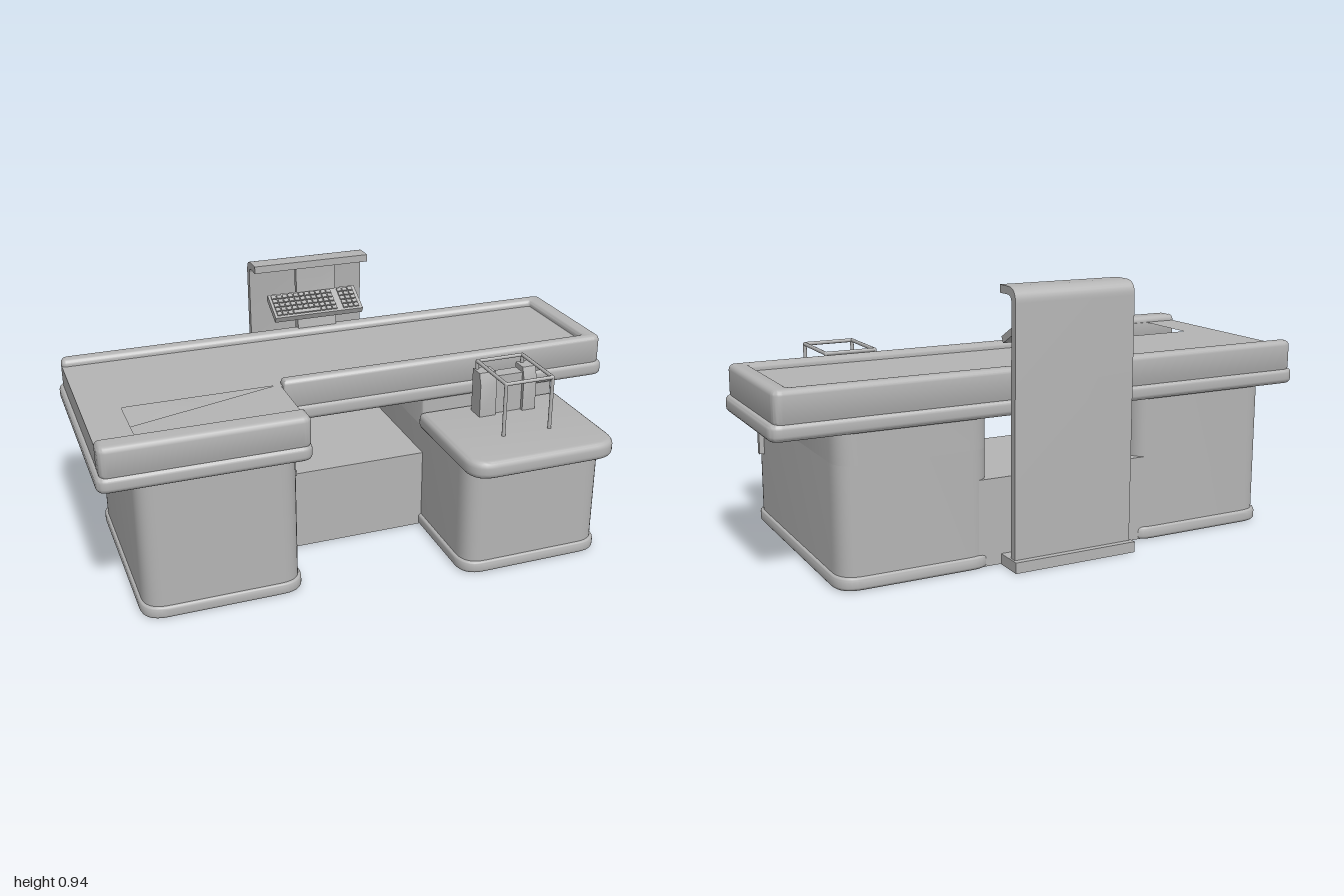
import * as THREE from 'three';
import { toCreasedNormals } from 'three/addons/utils/BufferGeometryUtils.js';

const grey = new THREE.MeshStandardMaterial({ color: 0xb4b4b4 });
grey.name = 'plain grey';

// Closed outline through [a, b, radius] corners, each softened by its radius
function outline(points) {
  const shape = new THREE.Shape();
  const n = points.length;
  points.forEach(([a, b, r = 0], i) => {
    const p = new THREE.Vector2(a, b);
    const toward = ([c, d]) => new THREE.Vector2(c, d).sub(p).setLength(r).add(p);
    const start = r ? toward(points[(i + n - 1) % n]) : p;
    const end = r ? toward(points[(i + 1) % n]) : p;
    if (i === 0) shape.moveTo(start.x, start.y);
    else shape.lineTo(start.x, start.y);
    if (r) shape.quadraticCurveTo(p.x, p.y, end.x, end.y);
  });
  shape.closePath();
  return shape;
}

function extrude(shape, height, bevel) {
  return new THREE.ExtrudeGeometry(shape, {
    depth: height - 2 * bevel, curveSegments: 8, bevelEnabled: bevel > 0,
    bevelThickness: bevel, bevelSize: bevel, bevelOffset: -bevel, bevelSegments: 4,
  }).translate(0, 0, bevel);
}

export function createModel() {
  const model = new THREE.Group();
  model.name = 'checkoutCounter';

  const add = (name, geometry, parent = model) => {
    const mesh = new THREE.Mesh(geometry, grey);
    mesh.name = name;
    parent.add(mesh);
    return mesh;
  };
  const box = (name, x0, x1, y0, y1, z0, z1, parent) => add(name,
    new THREE.BoxGeometry(x1 - x0, y1 - y0, z1 - z0)
      .translate((x0 + x1) / 2, (y0 + y1) / 2, (z0 + z1) / 2), parent);

  // Horizontal slab from an [x, z, radius] plan
  const slab = (name, plan, y0, y1, bevel = 0, hole = null) => {
    const flip = (pts) => outline(pts.map(([x, z, r]) => [x, -z, r]));
    const shape = flip(plan);
    if (hole) shape.holes.push(flip(hole));
    const g = extrude(shape, y1 - y0, bevel).rotateX(-Math.PI / 2).translate(0, y0, 0);
    return add(name, toCreasedNormals(g, 0.6));
  };
  const rect = (x0, x1, z0, z1, r, rFront = r) =>
    [[x0, z0, r], [x1, z0, r], [x1, z1, rFront], [x0, z1, rFront]];

  // Side profile of [z, y, radius] corners, stretched from x0 to x1
  const profile = (name, pts, x0, x1) => add(name, toCreasedNormals(
    extrude(outline(pts), x1 - x0, 0).rotateY(-Math.PI / 2).translate(x1, 0, 0), 0.6));

  // Cabinets and plinths
  slab('leftCabinet', rect(-0.875, -0.32, -0.43, 0.355, 0.08), 0.04, 0.525);
  slab('leftPlinth', rect(-0.885, -0.31, -0.44, 0.365, 0.085), 0, 0.045, 0.012);
  slab('rightCabinet', rect(0.25, 0.785, -0.43, 0.465, 0.08), 0.04, 0.41);
  slab('rightCabinetBack', rect(0.25, 0.785, -0.43, 0.06, 0.08, 0.01), 0.41, 0.525);
  slab('rightPlinth', rect(0.24, 0.795, -0.44, 0.475, 0.085), 0, 0.045, 0.012);
  box('middleCabinet', -0.4, 0.33, 0.002, 0.305, -0.425, 0.07);

  // L-shaped counter top: lower lip, deck with a recess, raised rims
  slab('counterLip', [[-1, -0.45, 0.04], [1, -0.45, 0.04], [1, 0.075, 0.04],
    [-0.28, 0.075, 0.01], [-0.28, 0.39, 0.04], [-1, 0.39, 0.04]], 0.515, 0.572, 0.018);
  slab('counterDeck', [[-0.985, -0.435, 0.03], [0.97, -0.435, 0.03], [0.97, 0.055, 0.03],
    [-0.29, 0.055], [-0.29, 0.375, 0.03], [-0.985, 0.375, 0.03]], 0.565, 0.65, 0,
  rect(-0.85, -0.31, 0.04, 0.3, 0));
  slab('mainRim', [[-0.985, -0.445, 0.03], [0.985, -0.445, 0.03], [0.985, 0.068, 0.03],
    [-0.285, 0.068, 0.01], [-0.285, 0.022, 0.01], [0.92, 0.022, 0.01],
    [0.92, -0.39, 0.01], [-0.985, -0.39, 0.02]], 0.56, 0.675, 0.018);
  slab('armRim', rect(-0.988, -0.285, 0.305, 0.385, 0.01, 0.03), 0.56, 0.675, 0.02);
  const ramp = extrude(outline([[-0.85, 0.572], [-0.31, 0.572], [-0.31, 0.65]]), 0.26, 0);
  add('recessRamp', ramp.translate(0, 0, 0.04));

  // Low packing table over the right cabinet
  slab('packingTable', rect(0.235, 0.805, 0.06, 0.535, 0.015, 0.09), 0.405, 0.47, 0.022);

  // Back tower with a hooded top, standing on its own foot
  profile('towerPanel', [[-0.48, 0.03], [-0.48, 0.918, 0.025], [-0.4, 0.918],
    [-0.4, 0.945], [-0.508, 0.945, 0.05], [-0.508, 0.03]], -0.245, 0.205);
  box('towerFoot', -0.255, 0.212, 0, 0.038, -0.53, -0.42);
  profile('keyboardPost', [[-0.405, 0.64], [-0.427, 0.78], [-0.427, 0.92],
    [-0.447, 0.92], [-0.447, 0.64]], -0.075, 0.08);

  // Tilted keyboard
  const keyboard = new THREE.Group();
  keyboard.name = 'keyboard';
  keyboard.position.set(-0.015, 0.78, -0.383);
  keyboard.rotation.x = 0.5;
  model.add(keyboard);
  box('keyboardBody', -0.175, 0.175, -0.014, 0.01, -0.06, 0.06, keyboard);
  for (let row = 0; row < 5; row++) {
    const z = -0.05 + row * 0.021;
    for (let col = 0; col < 15; col++) {
      if (col === 11 || (row === 4 && col > 2 && col < 8)) continue;
      const x = -0.165 + col * 0.022;
      box('key', x, x + 0.018, 0.01, 0.016, z, z + 0.016, keyboard);
    }
  }
  box('spaceKey', -0.099, 0.007, 0.01, 0.016, 0.034, 0.05, keyboard);

  // Wire bag holder with a notched back block
  const rod = (name, pts) => {
    const path = new THREE.CurvePath();
    for (let i = 1; i < pts.length; i++) {
      path.add(new THREE.LineCurve3(new THREE.Vector3(...pts[i - 1]), new THREE.Vector3(...pts[i])));
    }
    for (const line of path.curves) add(name, new THREE.TubeGeometry(line, 1, 0.007, 8));
    for (const p of pts) add(name + 'Joint', new THREE.SphereGeometry(0.007, 8, 6).translate(...p));
  };
  for (const x of [0.437, 0.62]) {
    rod('bagHolderHoop', [[x, 0.47, 0.35], [x, 0.668, 0.35], [x, 0.668, 0.12], [x, 0.47, 0.12]]);
  }
  for (const z of [0.35, 0.12]) rod('bagHolderBar', [[0.437, 0.668, z], [0.62, 0.668, z]]);
  const block = [[0.18, 0.47], [0.18, 0.595], [0.166, 0.638], [0.11, 0.638], [0.11, 0.47]];
  profile('bagBlockSide', block, 0.425, 0.49);
  profile('bagBlockSide', block, 0.6, 0.652);
  box('bagBlockMiddle', 0.49, 0.6, 0.47, 0.618, 0.113, 0.165);

  // Pull handles on the cabinet sides
  box('rightHandle', 0.78, 0.803, 0.27, 0.375, 0.36, 0.38);
  for (const z of [-0.19, 0.08]) box('leftHandle', -0.89, -0.87, 0.4, 0.42, z - 0.06, z + 0.06);
  box('innerHandle', -0.325, -0.305, 0.4, 0.42, 0.14, 0.26);

  return model;
}
